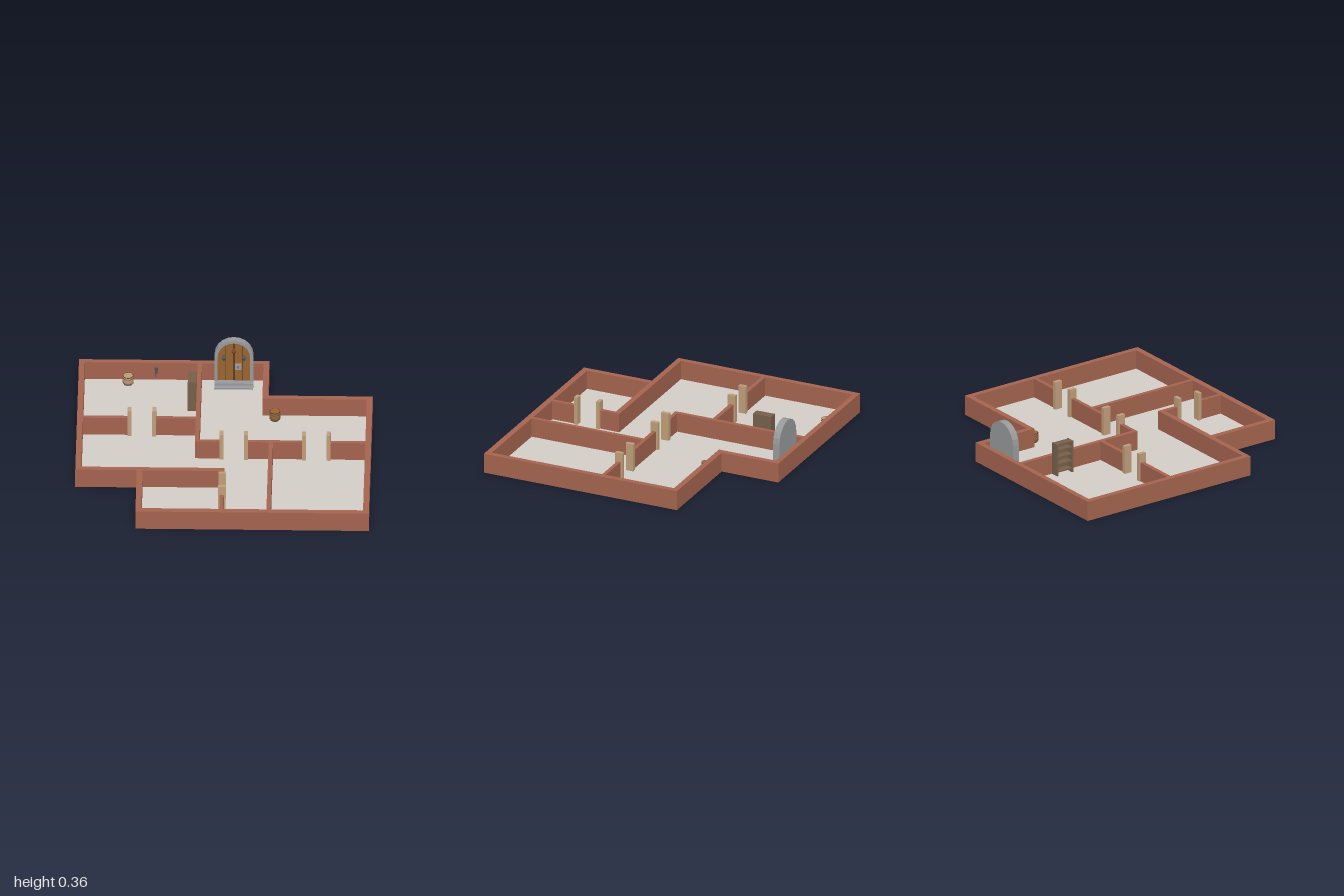
import * as THREE from 'three';

const mat = (name, color) => {
  const m = new THREE.MeshStandardMaterial({ color });
  m.name = name;
  return m;
};

export function createModel() {
  const model = new THREE.Group();
  model.name = 'dungeonFloor';

  const brick = mat('brick red', 0xa4644e);
  const floorGrey = mat('floor grey', 0xd2cdc6);
  const postTan = mat('post tan', 0xbf9e7a);
  const shelfBrown = mat('shelf brown', 0x775f4a);
  const doorWood = mat('door wood', 0x9a6530);
  const darkWood = mat('dark wood', 0x5e3c22);
  const stone = mat('stone grey', 0x98999b);
  const iron = mat('dark iron', 0x585a5d);
  const rust = mat('rust brown', 0x7a4a38);
  const barrelTan = mat('barrel tan', 0xc29a72);

  const add = (parent, name, geometry, material, x = 0, y = 0, z = 0) => {
    const mesh = new THREE.Mesh(geometry, material);
    mesh.name = name;
    mesh.position.set(x, y, z);
    parent.add(mesh);
    return mesh;
  };
  // Box given by its limits on each axis
  const block = (parent, name, material, x0, x1, y0, y1, z0, z1) =>
    add(parent, name, new THREE.BoxGeometry(x1 - x0, y1 - y0, z1 - z0), material,
      (x0 + x1) / 2, (y0 + y1) / 2, (z0 + z1) / 2);
  const group = (name, x = 0, y = 0, z = 0) => {
    const g = new THREE.Group();
    g.name = name;
    g.position.set(x, y, z);
    model.add(g);
    return g;
  };

  // Plan outlines as [x, z], anticlockwise from above
  const H = 0.14;
  const outer = [[-1, 0.428], [-0.583, 0.428], [-0.583, 0.937], [1, 0.937],
    [1, -0.512], [0.292, -0.512], [0.292, -0.937], [-1, -0.937]];
  const inner = [[-0.96, 0.39], [-0.543, 0.39], [-0.543, 0.895], [0.96, 0.895],
    [0.96, -0.472], [0.252, -0.472], [0.252, -0.9], [-0.96, -0.9]];
  const points = (list) => list.map(([x, z]) => new THREE.Vector2(x, -z));
  const slab = (shape, depth) =>
    new THREE.ExtrudeGeometry(shape, { depth, bevelEnabled: false }).rotateX(-Math.PI / 2);

  const ring = new THREE.Shape(points(outer));
  ring.holes.push(new THREE.Path(points(inner)));
  add(model, 'outerWalls', slab(ring, H), brick);
  add(model, 'floor', slab(new THREE.Shape(points(inner)), 0.005), floorGrey);

  // Inner walls: x0, x1, z0, z1
  const walls = group('innerWalls');
  [
    [-0.195, -0.165, -0.9, 0.067],
    [-0.96, -0.645, -0.243, -0.214],
    [-0.478, -0.195, -0.243, -0.214],
    [-0.165, -0.015, 0.04, 0.067],
    [0.15, 0.545, 0.04, 0.067],
    [0.71, 0.96, 0.04, 0.067],
    [0.305, 0.334, 0.067, 0.895],
    [-0.543, 0.013, 0.39, 0.428],
    [-0.015, 0.013, 0.428, 0.545],
    [-0.015, 0.013, 0.71, 0.895],
  ].forEach(([x0, x1, z0, z1]) => block(walls, 'innerWall', brick, x0, x1, 0.002, H, z0, z1));

  // Door posts at the ends of the openings
  const posts = group('doorPosts');
  const post = (x, z, w, d) =>
    block(posts, 'doorPost', postTan, x - w / 2, x + w / 2, 0, 0.205, z - d / 2, z + d / 2);
  [-0.643, -0.476].forEach((x) => post(x, -0.226, 0.027, 0.055));
  [-0.015, 0.152, 0.545, 0.712].forEach((x) => post(x, 0.054, 0.027, 0.055));
  [0.545, 0.712].forEach((z) => post(-0.001, z, 0.052, 0.026));

  // Arched double door
  const door = group('archedDoor', 0.052, 0, 0);
  const arch = (r, Type) => {
    const s = new Type();
    s.moveTo(-r, 0);
    s.lineTo(r, 0);
    for (let i = 0; i <= 10; i++) {
      const a = (i / 10) * Math.PI;
      s.lineTo(r * Math.cos(a), 0.225 + r * Math.sin(a));
    }
    return s;
  };
  const archSlab = (shape, depth) =>
    new THREE.ExtrudeGeometry(shape, { depth, bevelEnabled: false });
  const frame = arch(0.132, THREE.Shape);
  frame.holes.push(arch(0.11, THREE.Path));
  add(door, 'doorFrame', archSlab(frame, 0.044), stone, 0, 0.003, -0.89);
  add(door, 'doorBack', archSlab(arch(0.132, THREE.Shape), 0.006), stone, 0, 0.003, -0.895);
  add(door, 'doorLeaves', archSlab(arch(0.11, THREE.Shape), 0.024), doorWood, 0, 0.003, -0.887);
  // Seams between planks, the middle one widest
  [-0.055, 0, 0.055].forEach((x) => {
    const top = 0.225 + Math.sqrt(0.104 ** 2 - x * x);
    const w = x === 0 ? 0.006 : 0.0015;
    block(door, 'plankSeam', darkWood, x - w, x + w, 0.03, top, -0.864, -0.86);
  });
  // Pointed ornaments, one on each leaf and one above the middle
  [[-0.068, 0.22, iron], [0, 0.27, rust], [0.068, 0.22, iron]].forEach(([x, y, material]) => {
    const o = add(door, 'doorOrnament', new THREE.OctahedronGeometry(1), material, x, y, -0.851);
    o.scale.set(0.018, 0.03, 0.019);
  });
  block(door, 'lockPlate', stone, 0.008, 0.05, 0.125, 0.168, -0.862, -0.846);
  block(door, 'keyhole', iron, 0.025, 0.033, 0.138, 0.156, -0.846, -0.843);
  block(door, 'upperStep', stone, -0.132, 0.132, 0.004, 0.032, -0.86, -0.818);
  block(door, 'lowerStep', stone, -0.132, 0.132, 0.004, 0.017, -0.818, -0.786);

  // Bookshelf, open towards -x
  const shelf = group('bookshelf', -0.225, 0, -0.584);
  block(shelf, 'shelfBack', shelfBrown, 0.022, 0.029, 0.02, 0.232, -0.066, 0.066);
  [-1, 1].forEach((s) =>
    block(shelf, 'shelfSide', shelfBrown, -0.03, 0.03, 0, 0.235, s * 0.0625 - 0.005, s * 0.0625 + 0.005));
  [0.03, 0.085, 0.135, 0.185, 0.226].forEach((y) =>
    block(shelf, 'shelfBoard', shelfBrown, -0.029, 0.025, y, y + 0.008, -0.06, 0.06));

  // Barrels: staves, iron hoops and lid
  const barrel = (x, z, wood) => {
    const g = group('barrel', x, 0.004, z);
    const profile = [[0, 0], [0.03, 0], [0.036, 0.018], [0.038, 0.034], [0.036, 0.05], [0.032, 0.067], [0, 0.067]];
    const staves = new THREE.LatheGeometry(profile.map((p) => new THREE.Vector2(...p)), 16);
    add(g, 'staves', staves, wood);
    [0.016, 0.052].forEach((y) =>
      add(g, 'hoop', new THREE.CylinderGeometry(0.0375, 0.0375, 0.005, 16), iron, 0, y, 0));
    const rim = add(g, 'rim', new THREE.TorusGeometry(0.034, 0.003, 6, 16), darkWood, 0, 0.066, 0);
    rim.rotation.x = Math.PI / 2;
    add(g, 'lid', new THREE.CylinderGeometry(0.032, 0.032, 0.004, 16), wood, 0, 0.067, 0);
  };
  barrel(-0.665, -0.845, barrelTan);
  barrel(0.338, -0.422, doorWood);

  // Wall torch: plate, cup and a thin slanting handle
  const torch = group('wallTorch', -0.475, 0, 0);
  block(torch, 'torchPlate', iron, -0.01, 0.01, 0.055, 0.095, -0.9, -0.894);
  add(torch, 'torchCup', new THREE.CylinderGeometry(0.013, 0.007, 0.025, 8), iron, 0, 0.1, -0.884);
  const handle = add(torch, 'torchHandle', new THREE.CylinderGeometry(0.004, 0.003, 0.05, 8), iron, 0, 0.075, -0.868);
  handle.rotation.x = -0.7;

  return model;
}
